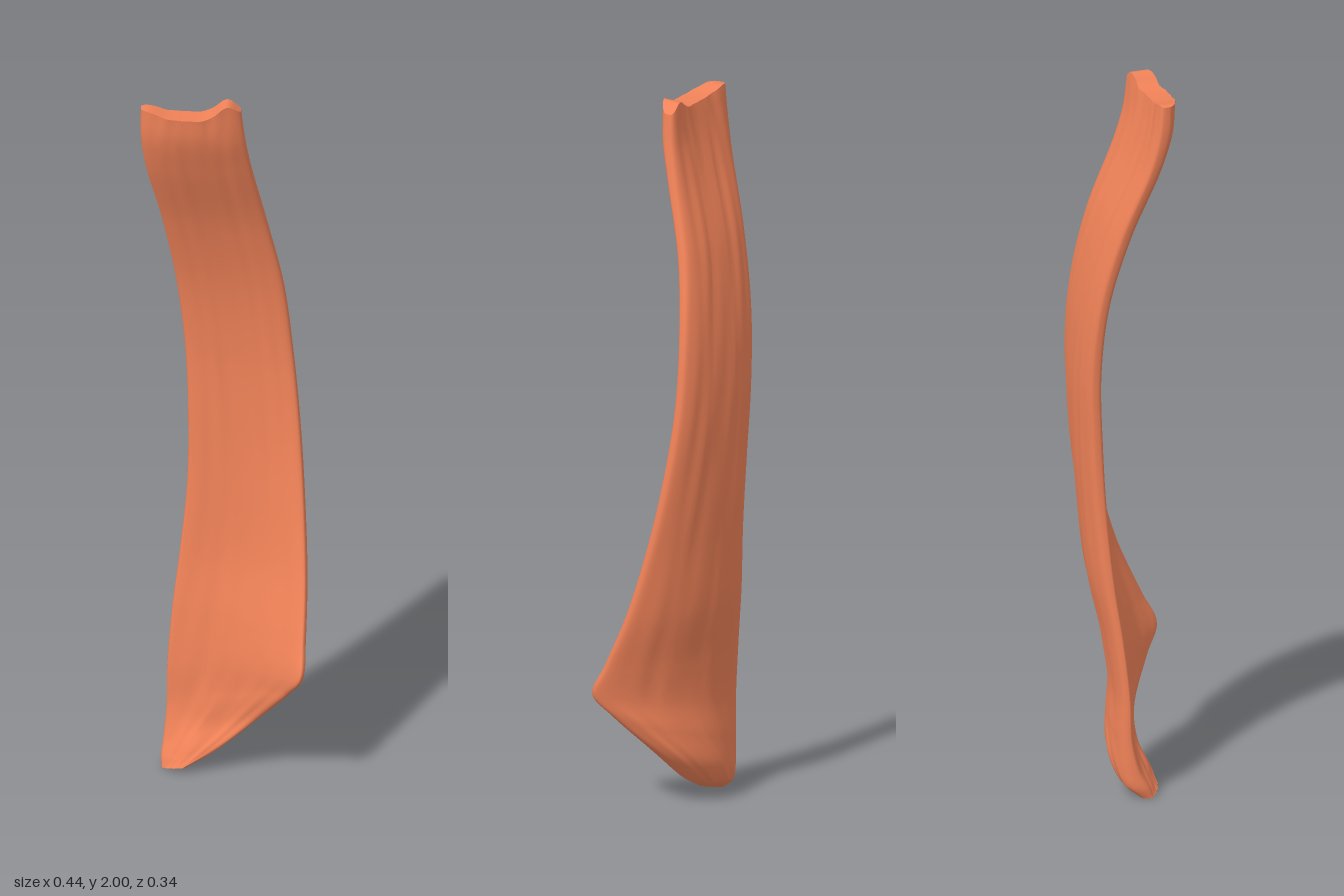
import * as THREE from 'three';

// Cross-sections from top to bottom:
// left edge x,y,z | right edge x,y,z | thickness | backward bow
const SECTIONS = [
  [-0.213, 1.97, 0.155, 0.008, 1.965, 0.008, 0.06, -0.024],
  [-0.217, 1.9, 0.15, 0.013, 1.9, 0.0, 0.066, -0.018],
  [-0.219, 1.8, 0.125, 0.014, 1.8, -0.028, 0.062, -0.01],
  [-0.219, 1.6, 0.045, 0.017, 1.6, -0.1, 0.06, 0.0],
  [-0.215, 1.4, -0.013, 0.037, 1.4, -0.148, 0.055, 0.004],
  [-0.204, 1.2, -0.038, 0.057, 1.2, -0.163, 0.055, 0.008],
  [-0.193, 1.0, -0.037, 0.087, 1.0, -0.152, 0.055, 0.016],
  [-0.188, 0.8, -0.026, 0.122, 0.8, -0.122, 0.055, 0.026],
  [-0.195, 0.6, -0.002, 0.162, 0.6, -0.074, 0.055, 0.042],
  [-0.2, 0.44, 0.025, 0.199, 0.44, -0.012, 0.052, 0.05],
  [-0.202, 0.28, 0.044, 0.217, 0.35, 0.026, 0.052, 0.058],
  [-0.202, 0.16, 0.047, 0.165, 0.285, 0.008, 0.06, 0.048],
  [-0.202, 0.08, 0.062, 0.05, 0.17, -0.012, 0.07, 0.03],
  [-0.198, 0.035, 0.078, -0.05, 0.07, 0.028, 0.075, 0.012],
  [-0.185, 0.005, 0.092, -0.105, 0.025, 0.082, 0.045, 0.0],
];
const ROWS = 140, SIDES = 72;

const curve = (pick) => new THREE.CatmullRomCurve3(SECTIONS.map(pick));
const soft = (v, p) => Math.sign(v) * Math.abs(v) ** p;
const bump = (x, y) => Math.exp(-x * x - y * y);

function strapGeometry() {
  const leftEdge = curve((s) => new THREE.Vector3(s[0], s[1], s[2]));
  const rightEdge = curve((s) => new THREE.Vector3(s[3], s[4], s[5]));
  const body = curve((s) => new THREE.Vector3(s[6], s[7], 0));
  const positions = [], indices = [];

  // Flattened oval rings, bowed across and grooved along the fibres
  for (let i = 0; i <= ROWS; i++) {
    const t = i / ROWS;
    const l = leftEdge.getPoint(t), r = rightEdge.getPoint(t), b = body.getPoint(t);
    const front = new THREE.Vector3(l.z - r.z, 0, r.x - l.x).normalize();
    const topFade = Math.max(0, 1 - t * 12);
    for (let j = 0; j < SIDES; j++) {
      const a = (j / SIDES) * Math.PI * 2;
      const u = 0.5 + 0.5 * soft(Math.cos(a), 0.75);
      const across = 4 * u * (1 - u);
      const fibre = 0.003 * Math.sin(u * 30 + Math.sin(t * 9) * 1.5) * Math.sin(t * 14 + u * 7);
      const half = b.x / 2 * soft(Math.sin(a), 0.6);
      const p = l.clone().lerp(r, u);
      p.addScaledVector(front, half - b.y * across + fibre * across);
      // Knob and fold on the front of the lower tip
      if (Math.sin(a) > 0) {
        const knob = 0.018 * bump((p.x + 0.11) / 0.05, (p.y - 0.08) / 0.05);
        const fold = 0.012 * bump((p.x + 0.09) / 0.03, (p.y - 0.17) / 0.08);
        p.z += (knob + fold) * Math.sin(a);
      }
      // Uneven top rim, highest near its right corner
      p.y += topFade * (0.035 * bump((u - 0.86) / 0.13, 0) + 0.012 * bump((u - 0.06) / 0.15, 0));
      positions.push(p.x, Math.max(0, p.y), p.z);
    }
  }
  for (let i = 0; i < ROWS; i++) {
    for (let j = 0; j < SIDES; j++) {
      const k = (j + 1) % SIDES;
      const a = i * SIDES + j, b = i * SIDES + k;
      indices.push(a, b, a + SIDES, b, b + SIDES, a + SIDES);
    }
  }

  // End caps, zipped across the ring, with their own vertices so the rims stay crisp
  for (const row of [0, ROWS]) {
    const base = positions.length / 3;
    positions.push(...positions.slice(row * SIDES * 3, (row + 1) * SIDES * 3));
    for (let j = 0; j < SIDES / 2; j++) {
      const a = base + j, b = base + j + 1;
      const c = base + SIDES - j - 1, d = base + (SIDES - j) % SIDES;
      if (row === 0) indices.push(a, d, b, d, c, b);
      else indices.push(a, b, d, d, b, c);
    }
  }

  const geometry = new THREE.BufferGeometry();
  geometry.setAttribute('position', new THREE.Float32BufferAttribute(positions, 3));
  geometry.setIndex(indices);
  geometry.computeVertexNormals();
  return geometry;
}

export function createModel() {
  const group = new THREE.Group();
  group.name = 'muscle';
  const strap = new THREE.Mesh(strapGeometry(), new THREE.MeshStandardMaterial({ color: 0xf08258 }));
  strap.name = 'muscleStrap';
  group.add(strap);
  return group;
}
